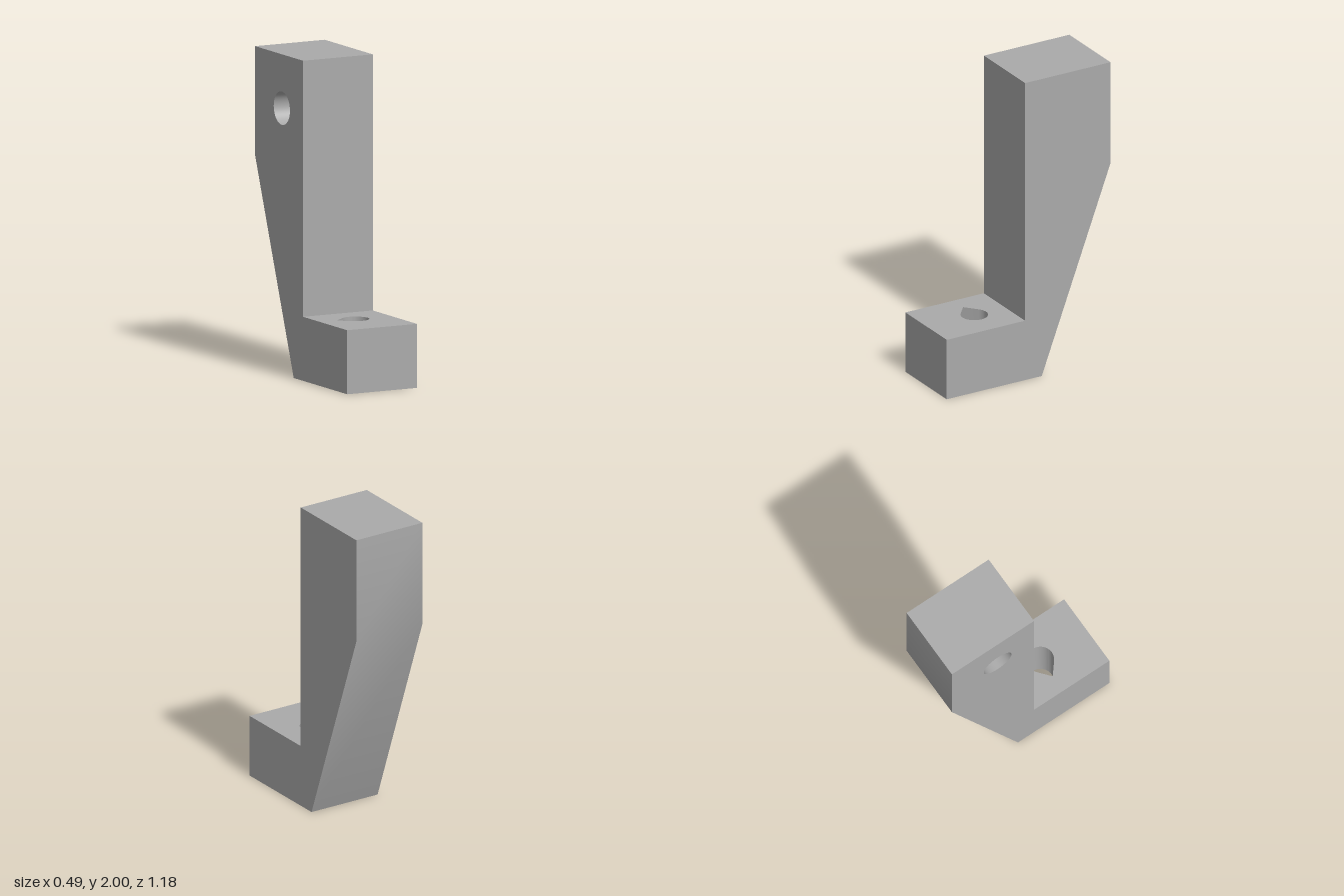
import * as THREE from 'three';
import { toCreasedNormals } from 'three/addons/utils/BufferGeometryUtils.js';

const HALF = 0.245; // half the bracket width
const FOOT = 0.4;   // foot height

// Side outline as (z, y), counter-clockwise
const profile = [
  [-0.095, 0], [0.59, 0], [0.59, FOOT], [0.025, FOOT],
  [0.025, 2], [-0.59, 2], [-0.59, 1.32],
].map(([z, y]) => new THREE.Vector2(z, y));

// Arc of points around a centre
function arc(cx, cy, r, from, to, n) {
  return Array.from({ length: n }, (_, i) => {
    const a = from + (to - from) * i / (n - 1);
    return new THREE.Vector2(cx + r * Math.cos(a), cy + r * Math.sin(a));
  });
}

// Collects triangles, each turned to face a given outward direction
class Surface {
  positions = [];

  tri(a, b, c, out) {
    const normal = b.clone().sub(a).cross(c.clone().sub(a));
    const corners = normal.dot(out) < 0 ? [a, c, b] : [a, b, c];
    for (const p of corners) this.positions.push(p.x, p.y, p.z);
  }

  quad(a, b, c, d, out) {
    this.tri(a, b, c, out);
    this.tri(a, c, d, out);
  }

  // Flat panel with optional holes, placed in space by a mapping
  panel(contour, holes, place, out) {
    const points = [contour, ...holes].flat().map(place);
    for (const [i, j, k] of THREE.ShapeUtils.triangulateShape(contour, holes)) {
      this.tri(points[i], points[j], points[k], out);
    }
  }

  // Inner wall of a hole between two planes, facing its axis
  bore(loop, centre, near, far) {
    loop.forEach((p, i) => {
      const q = loop[(i + 1) % loop.length];
      const inward = near(centre).sub(near(p.clone().add(q).multiplyScalar(0.5)));
      this.quad(near(p), near(q), far(q), far(p), inward);
    });
  }

  geometry() {
    const g = new THREE.BufferGeometry();
    g.setAttribute('position', new THREE.Float32BufferAttribute(this.positions, 3));
    return toCreasedNormals(g, Math.PI / 6);
  }
}

export function createModel() {
  const grey = new THREE.MeshStandardMaterial({ color: 0xaaaaaa });
  grey.name = 'grey';

  const body = new Surface();
  const atX = x => p => new THREE.Vector3(x, p.y, p.x); // (z, y) -> space
  const atY = y => p => new THREE.Vector3(p.x, y, p.y); // (x, z) -> space
  const X = new THREE.Vector3(1, 0, 0);
  const Y = new THREE.Vector3(0, 1, 0);

  // Two sides, with a blind round socket in the -x one
  const socketCentre = new THREE.Vector2(-0.247, 1.663);
  const socket = arc(socketCentre.x, socketCentre.y, 0.104, 0, 2 * Math.PI, 49).slice(0, -1);
  const socketEnd = -HALF + 0.36;
  body.panel(profile, [], atX(HALF), X);
  body.panel(profile, [socket], atX(-HALF), X.clone().negate());
  body.bore(socket, socketCentre, atX(-HALF), atX(socketEnd));
  body.panel(socket, [], atX(socketEnd), X.clone().negate());

  // Strips around the outline; the foot's top and underside carry the hole
  const holeCentre = new THREE.Vector2(0.003, 0.245);
  const tangent = Math.PI - Math.acos(0.085 / 0.133);
  const teardrop = [
    ...arc(holeCentre.x, holeCentre.y, 0.085, -tangent, tangent, 41),
    new THREE.Vector2(-0.13, holeCentre.y),
  ];
  profile.forEach((p, i) => {
    const q = profile[(i + 1) % profile.length];
    const out = new THREE.Vector3(0, p.x - q.x, q.y - p.y);
    if (i === 0 || i === 2) {
      const rect = [[-HALF, p.x], [HALF, p.x], [HALF, q.x], [-HALF, q.x]]
        .map(([x, z]) => new THREE.Vector2(x, z));
      body.panel(rect, [teardrop], atY(p.y), Y.clone().multiplyScalar(i === 0 ? -1 : 1));
    } else {
      body.quad(atX(-HALF)(p), atX(HALF)(p), atX(HALF)(q), atX(-HALF)(q), out);
    }
  });
  body.bore(teardrop, holeCentre, atY(FOOT), atY(0));

  const bracket = new THREE.Mesh(body.geometry(), grey);
  bracket.name = 'bracket';
  const group = new THREE.Group();
  group.name = 'angledBracket';
  group.add(bracket);
  return group;
}
